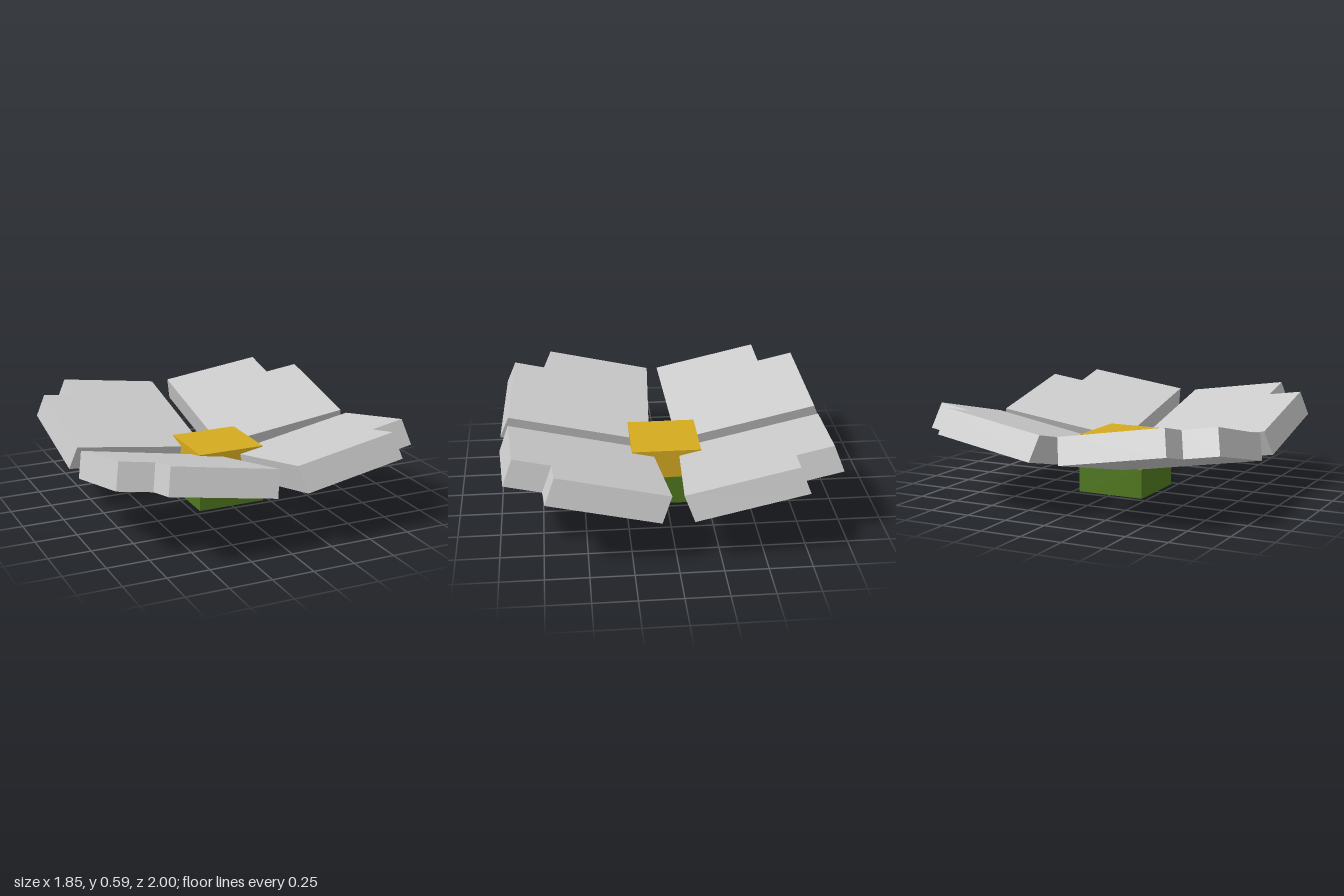
import * as THREE from 'three';

const petalMat = new THREE.MeshStandardMaterial({ color: 0xcccccc, flatShading: true });
const centreMat = new THREE.MeshStandardMaterial({ color: 0xd4aa20, flatShading: true });
const stemMat = new THREE.MeshStandardMaterial({ color: 0x50781e, flatShading: true });

function block(name, mat, width, y0, y1) {
  const mesh = new THREE.Mesh(new THREE.BoxGeometry(width, y1 - y0, width), mat);
  mesh.name = name;
  mesh.position.y = (y0 + y1) / 2;
  return mesh;
}

// Plate with a notched outer corner, rising outward in both x and z
function petal(name, sx, sz) {
  let outline = [[0, 0], [0.832, 0], [0.832, 0.641], [0.625, 0.641], [0.625, 0.858], [0, 0.858]];
  const along = new THREE.Vector3(sx, 0.156, -0.062 * sz);
  const out = new THREE.Vector3(0, 0.227, sz);
  const up = new THREE.Vector3(-0.037 * sx, 0.147, -0.057 * sz);
  const axes = [along, out];
  // Swap the plate axes where needed so that faces always point outward
  if (sx * sz > 0) {
    outline = outline.map(([p, q]) => [q, p]);
    axes.reverse();
  }
  const shape = new THREE.Shape(outline.map(([a, b]) => new THREE.Vector2(a, b)));
  const geo = new THREE.ExtrudeGeometry(shape, { depth: 1, bevelEnabled: false });
  const matrix = new THREE.Matrix4().makeBasis(axes[0], axes[1], up);
  matrix.setPosition(0.093 * sx, 0.149, 0.142 * sz);
  geo.applyMatrix4(matrix);
  geo.computeVertexNormals();
  const mesh = new THREE.Mesh(geo, petalMat);
  mesh.name = name;
  return mesh;
}

export function createModel() {
  const flower = new THREE.Group();
  flower.name = 'blockFlower';
  flower.add(block('stem', stemMat, 0.424, 0, 0.178));
  flower.add(block('flowerCentre', centreMat, 0.416, 0.178, 0.355));
  for (const sx of [1, -1]) {
    for (const sz of [1, -1]) {
      flower.add(petal((sz > 0 ? 'front' : 'back') + (sx > 0 ? 'Left' : 'Right') + 'Petal', sx, sz));
    }
  }
  return flower;
}
